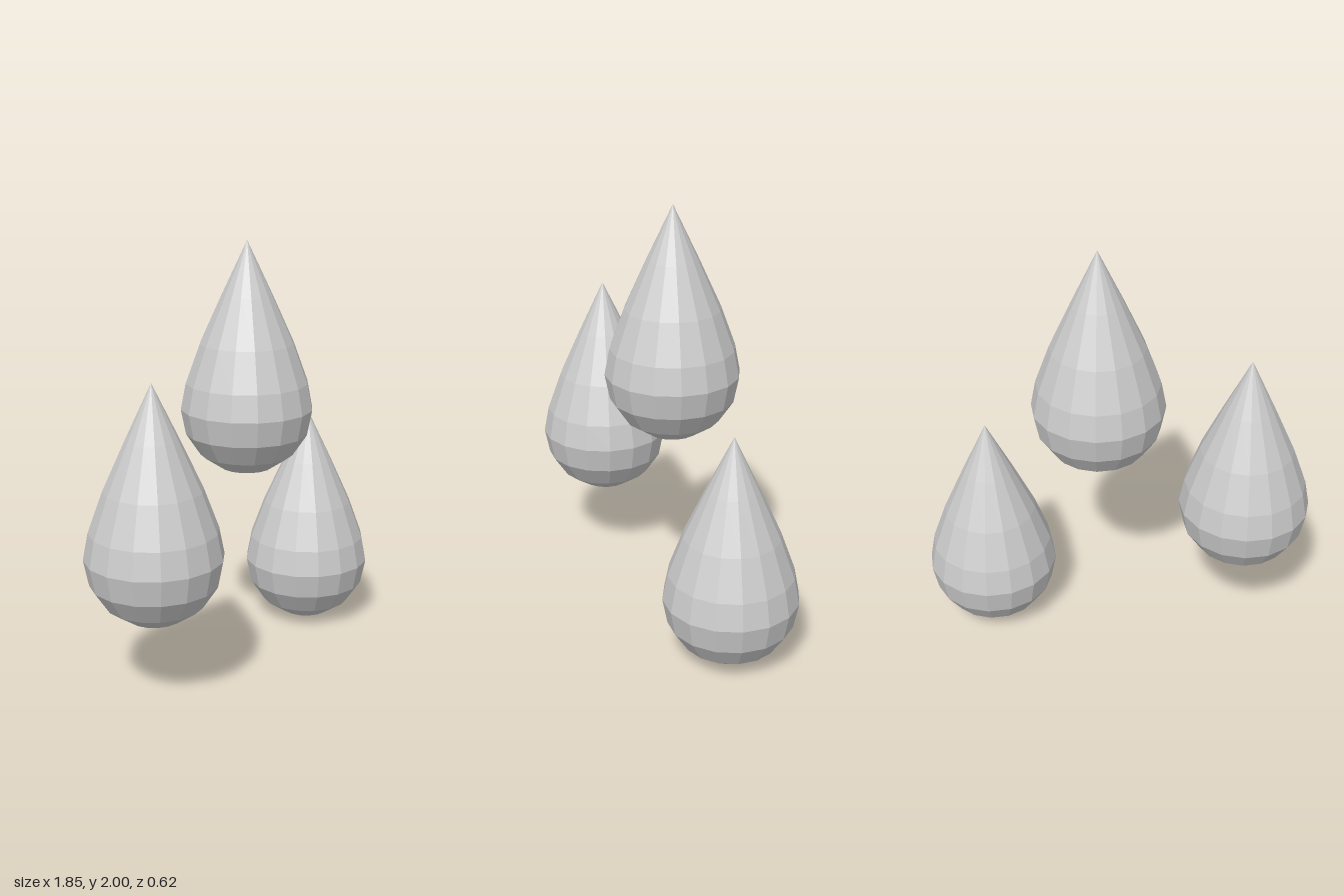
import * as THREE from 'three';

const RADIUS = 0.312;
const SIDES = 16;

// Teardrop: a round lower half, and an upper half drawn out to a point.
function dropGeometry() {
  const upperHeights = [0.123, 0.308, 0.53, 0.78];
  const points = [];
  for (let i = 0; i <= 8; i++) {
    const angle = -Math.PI / 2 + (i * Math.PI) / 8;
    const r = i === 0 || i === 8 ? 0 : RADIUS * Math.cos(angle);
    const y = i <= 4 ? RADIUS * Math.sin(angle) : upperHeights[i - 5];
    points.push(new THREE.Vector2(r, y));
  }
  return new THREE.LatheGeometry(points, SIDES);
}

export function createModel() {
  const model = new THREE.Group();
  model.name = 'waterDrops';
  const material = new THREE.MeshStandardMaterial({ color: 0xcccccc, flatShading: true });
  const geometry = dropGeometry();

  // Name, x and height of the widest ring of each drop
  const drops = [
    ['topDrop', 0.08, 1.22],
    ['rightDrop', -0.615, 0.684],
    ['leftDrop', 0.613, 0.317],
  ];
  for (const [name, x, y] of drops) {
    const drop = new THREE.Mesh(geometry, material);
    drop.name = name;
    drop.position.set(x, y, 0);
    model.add(drop);
  }
  return model;
}
